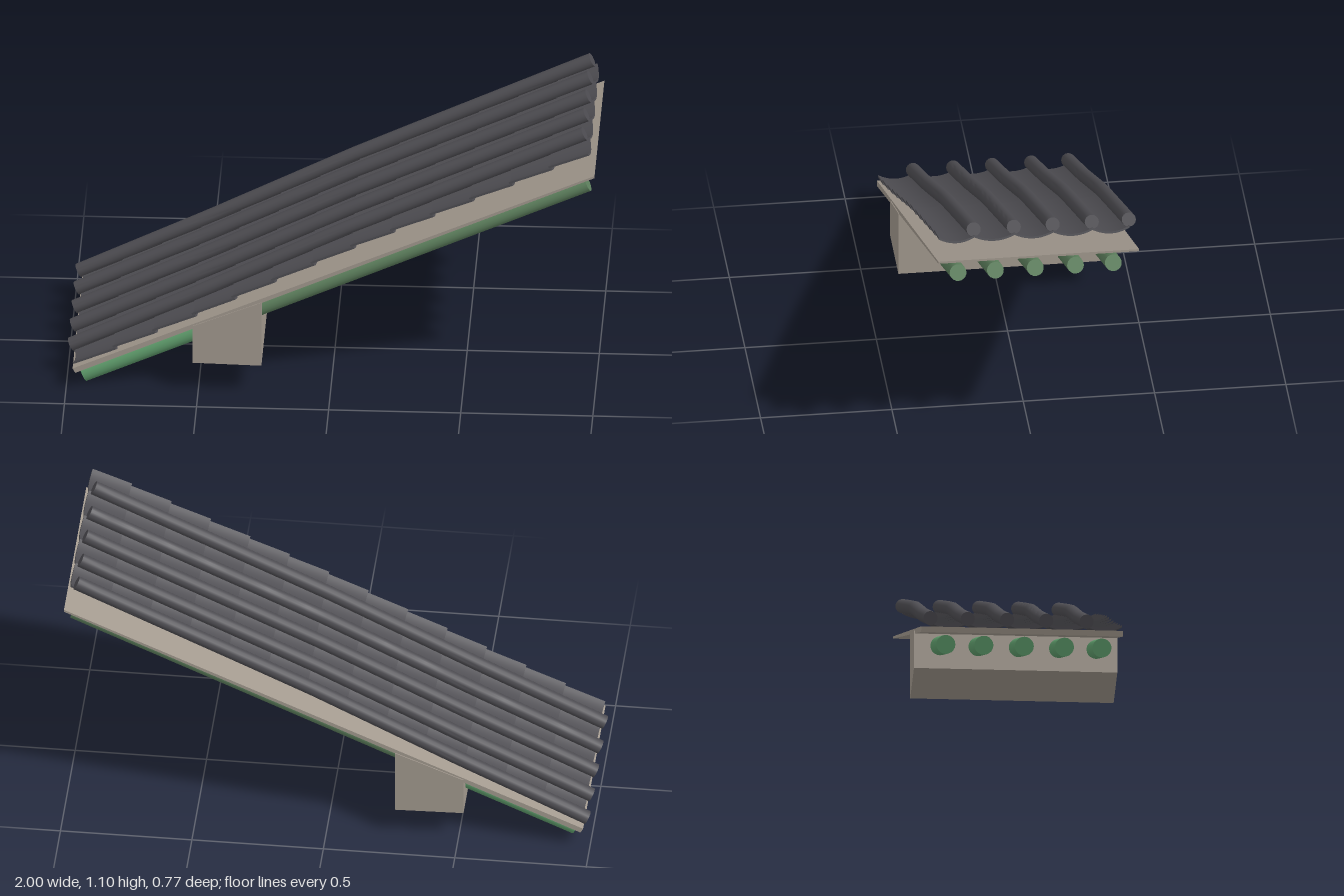
import * as THREE from 'three';
import { toCreasedNormals } from 'three/addons/utils/BufferGeometryUtils.js';

const mat = (name, color) => new THREE.MeshStandardMaterial({ name, color });

// Roof line: height of the tile rib axis along x, with a gentle bend
const LINE = [[-1, 0.115], [-0.5, 0.362], [0.05, 0.645], [0.3, 0.765], [0.96, 1.078]];
function roofY(x) {
  let i = 0;
  while (i < LINE.length - 2 && x > LINE[i + 1][0]) i++;
  const [x0, y0] = LINE[i], [x1, y1] = LINE[i + 1];
  return y0 + (x - x0) * (y1 - y0) / (x1 - x0);
}

export function createModel() {
  const group = new THREE.Group();
  group.name = 'roofSection';
  const tile = mat('slate grey tile', 0x4e4d52);
  const stone = mat('warm grey board', 0xa39a8f);
  const green = mat('muted green rafter', 0x5f825f);
  const lightGreen = mat('light green rafter', 0x5f9d6c);

  const add = (name, geometry, material) => {
    const mesh = new THREE.Mesh(geometry, material);
    mesh.name = name;
    group.add(mesh);
    return mesh;
  };

  // Side outline in x and y, extruded across the roof
  const slab = (name, points, width) => {
    const shape = new THREE.Shape(points.map(([x, y]) => new THREE.Vector2(x, y)));
    const g = new THREE.ExtrudeGeometry(shape, { depth: width, bevelEnabled: false });
    add(name, g.translate(0, 0, -width / 2), stone);
  };
  slab('roofBoard', [[-0.965, 0.073], [1, 0.96], [1, 0.969], [-0.975, 0.092]], 0.764);
  slab('supportBeam', [[-0.52, 0.13], [-0.26, 0.124], [-0.26, 0.394], [-0.52, 0.287]], 0.77);

  // Round rafters, in a lower and an upper length
  const up = new THREE.Vector3(0, 1, 0);
  const rafter = (name, x0, x1, r0, r1, z, material) => {
    const a = new THREE.Vector3(x0, 0.459 + 0.451 * x0, z);
    const b = new THREE.Vector3(x1, 0.459 + 0.451 * x1, z);
    const g = new THREE.CylinderGeometry(r1, r0, a.distanceTo(b), 20);
    const mesh = add(name, g, material);
    mesh.position.lerpVectors(a, b, 0.5);
    mesh.quaternion.setFromUnitVectors(up, b.sub(a).normalize());
  };
  for (const z of [0.304, 0.162, 0.01, -0.143, -0.287]) {
    rafter('lowerRafter', -0.938, -0.4, 0.036, 0.036, z, lightGreen);
    rafter('upperRafter', -0.4, 0.972, 0.036, 0.032, z, green);
  }

  // Long round ribs: cylinders bent along the roof line
  const ribZ = [0.243, 0.09, -0.058, -0.207, -0.348];
  const slope = Math.atan(0.495), s = Math.sin(slope), c = Math.cos(slope);
  for (const z of ribZ) {
    let g = new THREE.CylinderGeometry(0.027, 0.027, 1, 16, 26);
    const p = g.attributes.position;
    for (let i = 0; i < p.count; i++) {
      const x = THREE.MathUtils.lerp(-0.988, 0.956, p.getY(i) + 0.5);
      const n = -p.getX(i);
      p.setXYZ(i, x - s * n, roofY(x) + c * n, z + p.getZ(i));
    }
    g = toCreasedNormals(g, 0.7);
    add('tileRib', g, tile);
  }

  // Curved pan tiles between the ribs, each row lapping over the one below
  const panShape = (w) => {
    const arc = (lift) => Array.from({ length: 11 }, (_, i) => {
      const u = i / 5 - 1;
      return new THREE.Vector2(u * w / 2, lift + 0.018 * (u * u - 1));
    });
    return new THREE.Shape([...arc(-0.008), ...arc(0).reverse()]);
  };
  const rows = 13, step = 0.15, xLow = -0.975;
  const edges = [0.378, ...ribZ];
  for (let k = 0; k < ribZ.length; k++) {
    const width = edges[k] - edges[k + 1], z = (edges[k] + edges[k + 1]) / 2;
    const shape = panShape(width);
    for (let r = 0; r < rows; r++) {
      const x0 = xLow + r * step, x1 = Math.min(x0 + step + 0.012, 0.975);
      const a = new THREE.Vector3(x0, roofY(x0) - 0.011, z);
      const b = new THREE.Vector3(x1, roofY(x1) - 0.024, z);
      const d = b.clone().sub(a), length = d.length();
      d.normalize();
      const g = new THREE.ExtrudeGeometry(shape, { depth: length, bevelEnabled: false });
      const frame = new THREE.Matrix4().makeBasis(
        new THREE.Vector3(0, 0, -1), new THREE.Vector3(-d.y, d.x, 0), d).setPosition(a);
      add('panTile', toCreasedNormals(g.applyMatrix4(frame), 0.6), tile);
    }
  }
  return group;
}
